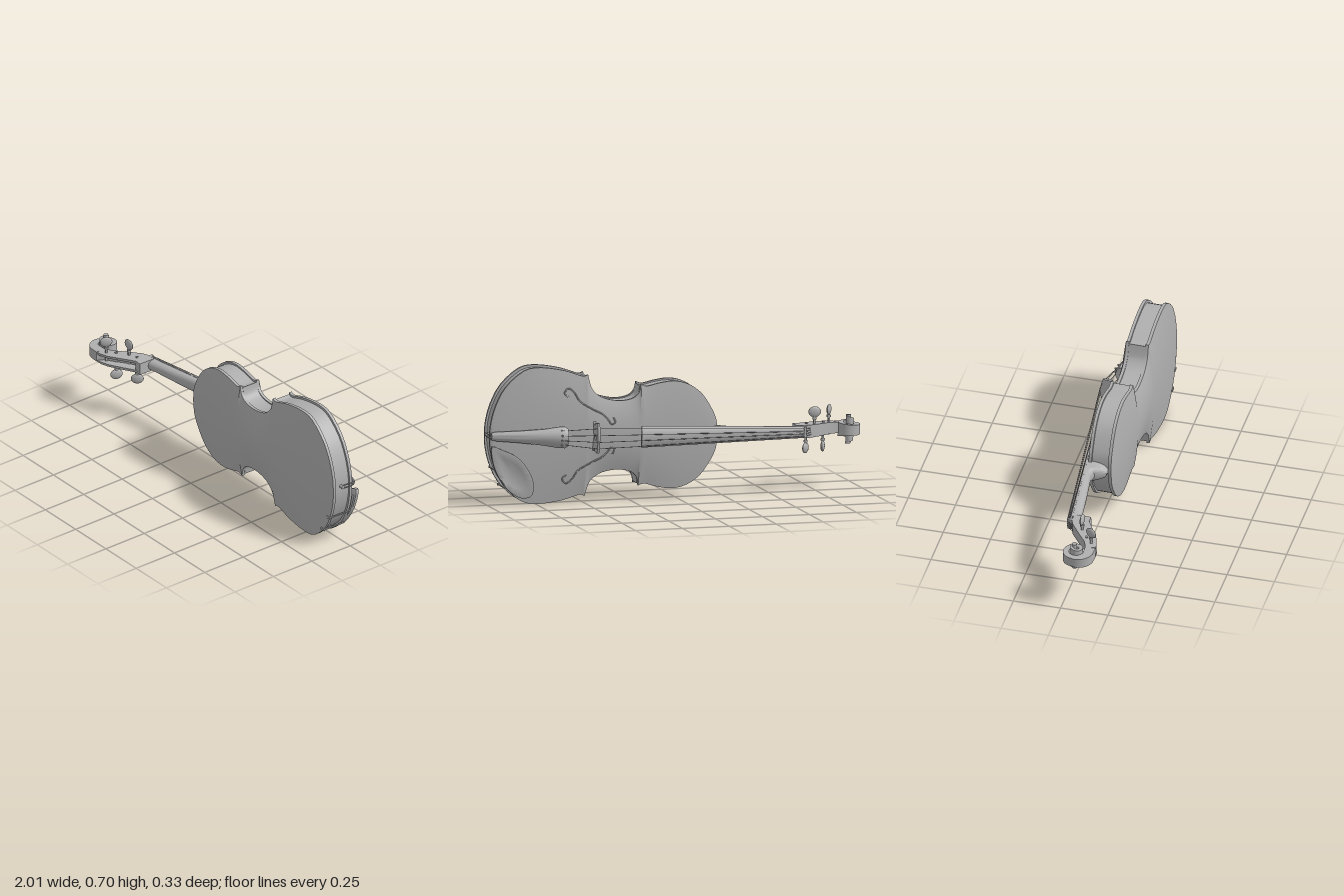
import * as THREE from 'three';
import { toCreasedNormals } from 'three/addons/utils/BufferGeometryUtils.js';

const grey = new THREE.MeshStandardMaterial({ color: 0xb0b0b0, side: THREE.DoubleSide });
grey.name = 'plain grey';

// Local frame: x runs from scroll to tail, y across the strings, -z towards the strings.
export function createModel() {
  const model = new THREE.Group();
  const violin = new THREE.Group();
  violin.name = 'violin';
  violin.rotation.set(0, -0.03, 0.031);
  violin.position.y = 0.3335;
  model.add(violin);

  const add = (name, geometry, crease = 0.6) => {
    const mesh = new THREE.Mesh(crease ? toCreasedNormals(geometry, crease) : geometry, grey);
    mesh.name = name;
    violin.add(mesh);
    return mesh;
  };
  const V = (p) => new THREE.Vector3(...p);
  const tube = (pts, r, n = 8, sides = 6) =>
    new THREE.TubeGeometry(new THREE.CatmullRomCurve3(pts.map(V)), n, r, sides);

  // Skin a row of closed rings and cap both ends
  function loft(rings) {
    const n = rings[0].length, last = (rings.length - 1) * n, idx = [];
    for (let i = 0; i < rings.length - 1; i++) for (let j = 0; j < n; j++) {
      const a = i * n + j, b = i * n + (j + 1) % n;
      idx.push(a, b, a + n, b, b + n, a + n);
    }
    for (let j = 1; j < n - 1; j++) idx.push(0, j + 1, j, last, last + j, last + j + 1);
    const pts = rings.flat().map(V);
    let volume = 0;
    for (let k = 0; k < idx.length; k += 3)
      volume += pts[idx[k]].dot(pts[idx[k + 1]].clone().cross(pts[idx[k + 2]]));
    if (volume < 0) idx.reverse();
    const g = new THREE.BufferGeometry().setFromPoints(pts);
    g.setIndex(idx);
    g.computeVertexNormals();
    return g;
  }

  // Body outline: upper bout, waist and lower bout, meeting at sharp corners
  const bouts = [
    [[-0.214, 0], [-0.207, 0.07], [-0.18, 0.133], [-0.127, 0.21], [-0.06, 0.258], [0.018, 0.278], [0.1, 0.268], [0.165, 0.252], [0.198, 0.262]],
    [[0.198, 0.262], [0.207, 0.22], [0.235, 0.192], [0.288, 0.179], [0.35, 0.182], [0.41, 0.2], [0.452, 0.235], [0.468, 0.27], [0.48, 0.314]],
    [[0.48, 0.314], [0.51, 0.307], [0.6, 0.335], [0.728, 0.3525], [0.82, 0.335], [0.914, 0.25], [0.965, 0.15], [0.987, 0.06], [0.99, 0]],
  ];
  const half = bouts.flatMap((b, i) => {
    const p = new THREE.SplineCurve(b.map((q) => new THREE.Vector2(...q))).getPoints(24);
    return i ? p.slice(1) : p;
  });
  const outline = (inset) => {
    const f = (p, side) => new THREE.Vector2(0.388 + (p.x - 0.388) * (1 - inset * 0.5), side * p.y * (1 - inset));
    return new THREE.Shape([...half.map((p) => f(p, -1)), ...half.slice(1, -1).reverse().map((p) => f(p, 1))]);
  };
  const slab = (inset, z0, z1) =>
    new THREE.ExtrudeGeometry(outline(inset), { depth: z1 - z0, bevelEnabled: false }).translate(0, 0, z0);
  add('ribs', slab(0.035, -0.036, 0.056));
  add('backEdge', slab(0, 0.054, 0.07));
  add('frontEdge', slab(0, -0.05, -0.034));

  // Arched plates
  const rise = (x, s) =>
    0.027 * Math.pow(Math.max(0, Math.sin(Math.PI * (x + 0.214) / 1.204)), 0.6) * (1 - s * s);
  const arch = (z, dir) => loft(half.map((p) => Array.from({ length: 25 }, (_, j) => {
    const s = j / 12 - 1;
    return [p.x, s * p.y, z + dir * rise(p.x, s)];
  })));
  add('backPlate', arch(0.07, 1), 0.7);
  add('frontPlate', arch(-0.05, -1), 0.7);

  // Sound holes as thin inlaid S curves
  const halfWidth = (x) => half.find((p) => p.x >= x).y;
  const sCurve = [[0.585, 0.2], [0.605, 0.222], [0.585, 0.245], [0.555, 0.225], [0.525, 0.18], [0.46, 0.14],
    [0.40, 0.11], [0.37, 0.08], [0.355, 0.06], [0.335, 0.07], [0.345, 0.095]];
  for (const side of [-1, 1])
    add('soundHole', tube(sCurve.map(([x, y]) => [x, side * y, -0.05 - rise(x, y / halfWidth(x))]), 0.004, 60), 0);

  // Neck and heel, with a half-round underside
  const boardBase = (x) => -0.002 - 0.12 * (x + 0.68);
  const neck = [[-0.66, 0.04, 0.03], [-0.6, 0.03, 0.03], [-0.45, 0.01, 0.035], [-0.29, -0.016, 0.041],
    [-0.262, -0.005, 0.042], [-0.25, 0.03, 0.042], [-0.235, 0.052, 0.042], [-0.195, 0.054, 0.045]];
  add('neck', loft(neck.map(([x, bottom, w]) => Array.from({ length: 13 }, (_, j) => {
    const a = Math.PI * j / 12, top = boardBase(x) - 0.002;
    return [x, w * Math.cos(a), top + (bottom - top) * Math.pow(Math.sin(a), 0.7)];
  }))), 0.8);

  // Curved strip: flat underside, domed towards the strings
  const dome = (x, w, base, side, top) => [[x, -w, base], ...Array.from({ length: 9 }, (_, j) => {
    const s = j / 4 - 1;
    return [x, s * w, side + (top - side) * (1 - s * s)];
  }), [x, w, base]];
  add('fingerboard', loft([[-0.68, 0.03], [0.205, 0.056]].map(([x, w]) =>
    dome(x, w, boardBase(x), boardBase(x) - 0.008, boardBase(x) - 0.02))));
  add('nut', new THREE.BoxGeometry(0.014, 0.058, 0.028).translate(-0.686, 0, -0.01));

  // Hollow pegbox: U section that closes at both ends
  const along = (stations) => stations.map(([x, z, t, w, d], i) => {
    const p = stations[Math.max(0, i - 1)], q = stations[Math.min(stations.length - 1, i + 1)];
    const len = Math.hypot(q[0] - p[0], q[1] - p[1]);
    const nx = -(q[1] - p[1]) / len, nz = (q[0] - p[0]) / len;
    const at = (y, k) => [x + nx * k, y, z + nz * k];
    const c = w * 0.6;
    return d === undefined ? [at(-w, -t), at(w, -t), at(w, t), at(-w, t)]
      : [at(-w, -t), at(w, -t), at(w, t), at(c, t), at(c, t - d), at(-c, t - d), at(-c, t), at(-w, t)];
  });
  add('pegbox', loft(along([
    [-0.645, 0.045, 0.045, 0.032, 0], [-0.69, 0.045, 0.044, 0.033, 0.001], [-0.70, 0.05, 0.044, 0.033, 0.05], [-0.765, 0.094, 0.04, 0.032, 0.05],
    [-0.83, 0.139, 0.033, 0.03, 0.04], [-0.865, 0.152, 0.03, 0.029, 0.03], [-0.89, 0.157, 0.027, 0.028, 0]].map(
    ([x, z, t, w, d]) => [x, z, t, w, -d]).map(([x, z, t, w, d]) => [x, z, -t, w, d]))), 0.5);

  // Scroll: a spiral band that widens towards its eye
  const radius = [0.07, 0.046, 0.044, 0.04, 0.031, 0.021, 0.013, 0.005];
  const thick = [0.025, 0.015, 0.015, 0.014, 0.009, 0.007, 0.006, 0.005];
  const width = [0.027, 0.025, 0.028, 0.036, 0.046, 0.056, 0.066, 0.075];
  const spiral = [[-0.89, 0.157, 0.027, 0.028]];
  for (let i = 0; i <= 56; i++) {
    const k = Math.min(6, Math.floor(i / 8)), f = i / 8 - k;
    const mix = (list) => list[k] + (list[k + 1] - list[k]) * f;
    const a = Math.PI / 2 + i * Math.PI / 16;
    spiral.push([-0.94 + mix(radius) * Math.cos(a), 0.087 + mix(radius) * Math.sin(a), mix(thick), mix(width)]);
  }
  add('scroll', loft(along(spiral)), 0.6);
  add('scrollEye', new THREE.CylinderGeometry(0.013, 0.013, 0.15, 16).translate(-0.94, 0, 0.087));

  // Tuning pegs: x, z, side, turn of the head
  for (const [x, z, side, turn] of [[-0.852, 0.15, 1, 1.1], [-0.757, 0.075, 1, 0], [-0.815, 0.115, -1, 1.2], [-0.71, 0.06, -1, 0.9]]) {
    add('pegShaft', new THREE.CylinderGeometry(0.007, 0.007, 0.11, 12).translate(x, side * 0.018, z));
    add('pegCollar', new THREE.CylinderGeometry(0.011, 0.011, 0.01, 12).translate(x, side * 0.058, z));
    const head = add('pegHead', new THREE.SphereGeometry(1, 20, 12), 0);
    head.scale.set(0.033, 0.028, 0.011);
    head.rotation.y = turn;
    head.position.set(x, side * 0.092, z);
  }

  // Bridge with feet, waist cuts and a heart opening
  const bridge = new THREE.Shape();
  bridge.moveTo(-0.078, 0.064);
  bridge.lineTo(-0.04, 0.068);
  bridge.quadraticCurveTo(0, 0.115, 0.04, 0.068);
  bridge.lineTo(0.078, 0.064);
  bridge.lineTo(0.072, 0.082);
  bridge.lineTo(0.055, 0.1);
  bridge.lineTo(0.074, 0.115);
  bridge.lineTo(0.078, 0.163);
  bridge.quadraticCurveTo(0, 0.193, -0.078, 0.163);
  bridge.lineTo(-0.074, 0.115);
  bridge.lineTo(-0.055, 0.1);
  bridge.lineTo(-0.072, 0.082);
  bridge.holes.push(new THREE.Path().absellipse(0, 0.128, 0.016, 0.013, 0, Math.PI * 2));
  const bridgeGeo = new THREE.ExtrudeGeometry(bridge, { depth: 0.012, bevelEnabled: false });
  bridgeGeo.applyMatrix4(new THREE.Matrix4().makeBasis(V([0, 1, 0]), V([0, 0, -1]), V([-1, 0, 0])));
  add('bridge', bridgeGeo.translate(0.451, 0, 0));

  // Tailpiece, tail loop and end button
  const tail = [[0.595, 0.045, -0.143], [0.61, 0.055, -0.146], [0.64, 0.055, -0.143], [0.72, 0.042, -0.127],
    [0.85, 0.03, -0.1], [0.96, 0.024, -0.078], [0.985, 0.018, -0.072]];
  add('tailpiece', loft(tail.map(([x, w, z]) => dome(x, w, z + 0.52 * w + 0.008, z + 0.5 * w, z))));
  for (const y of [-0.008, 0.008])
    add('tailLoop', tube([[0.97, y, -0.064], [0.993, y, -0.055], [0.996, y, -0.02], [0.994, y, 0.014]], 0.003), 0);
  add('endButton', new THREE.CylinderGeometry(0.009, 0.009, 0.025, 12).rotateZ(Math.PI / 2).translate(0.988, 0, 0.014));

  // Strings from the nut over the bridge to the tailpiece
  for (const k of [-1.5, -0.5, 0.5, 1.5]) {
    const path = new THREE.CurvePath();
    const pts = [[-0.76, k * 0.008, 0.05], [-0.686, k * 0.013, -0.026], [0.445, k * 0.035, -0.181 + k * k * 0.005],
      [0.62, k * 0.024, -0.149 + k * k * 0.008]].map(V);
    for (let i = 0; i < 3; i++) path.add(new THREE.LineCurve3(pts[i], pts[i + 1]));
    path.curves.forEach((line) => add('string', new THREE.TubeGeometry(line, 1, 0.0018, 5), 0));
    add('fineTuner', new THREE.CylinderGeometry(0.005, 0.005, 0.02, 10).rotateX(Math.PI / 2)
      .translate(0.63, k * 0.024, -0.148 + k * k * 0.008));
  }

  // Chin rest: leaf-shaped plate tilted up towards the tailpiece, slightly dished
  const leaf = [[0.985, -0.05], [0.93, -0.068], [0.85, -0.105], [0.79, -0.17], [0.755, -0.25], [0.765, -0.31],
    [0.81, -0.322], [0.88, -0.287], [0.94, -0.215], [0.978, -0.13]];
  const leafCurve = new THREE.CatmullRomCurve3(leaf.map(([x, y]) => V([x, y, 0])), true).getPoints(60).slice(0, -1);
  add('chinRest', loft([[0.94, 0.018], [1, 0.012], [1, -0.004], [0.93, -0.006], [0.6, 0.002], [0.25, 0.006], [0.001, 0.007]].map(
    ([s, dz]) => leafCurve.map((p) => {
      const x = 0.865 + (p.x - 0.865) * s, y = -0.2 + (p.y + 0.2) * s;
      return [x, y, -0.058 + dz - 0.105 * (y + 0.33)];
    }))), 0.7);

  // Chin rest clamp rods and their feet
  for (const [x, y, top] of [[0.955, -0.178, -0.06], [0.905, -0.268, -0.055]]) {
    add('clampRod', new THREE.CylinderGeometry(0.004, 0.004, 0.07 - top, 8).rotateX(Math.PI / 2).translate(x, y, (0.07 + top) / 2));
    add('clampFoot', new THREE.BoxGeometry(0.03, 0.012, 0.006).translate(x - 0.01, y, 0.073));
  }
  return model;
}
